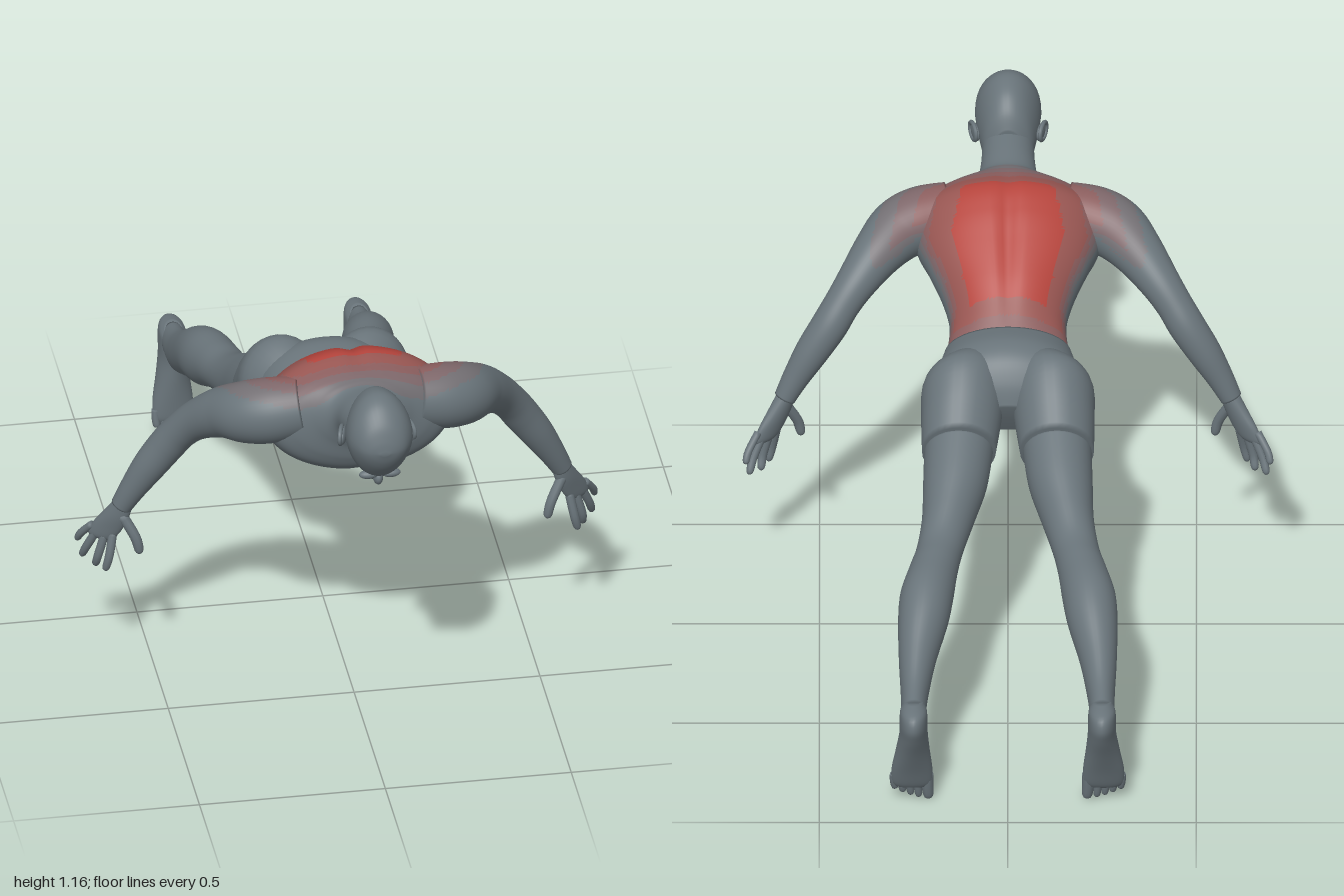
import * as THREE from 'three';

const mat = (name, color) => {
  const m = new THREE.MeshStandardMaterial({ color });
  m.name = name;
  return m;
};
const skin = mat('grey skin', 0x69747a);
// Index 0 is skin, then rising strength of the red patch on the back
const tints = [skin, mat('faint red', 0x736f73), mat('soft red', 0x7e676a),
  mat('dusky red', 0x8b5e5e), mat('warm red', 0x985652), mat('full red', 0xb5443c)];

// Smooth interpolation of rows of numbers (Catmull-Rom)
function refine(rows, sub) {
  const out = [], last = rows.length - 1;
  for (let i = 0; i < last; i++) {
    const a = rows[Math.max(0, i - 1)], b = rows[i], c = rows[i + 1], d = rows[Math.min(last, i + 2)];
    for (let k = 0; k < sub; k++) {
      const t = k / sub;
      out.push(b.map((_, j) => 0.5 * (2 * b[j] + (c[j] - a[j]) * t
        + (2 * a[j] - 5 * b[j] + 4 * c[j] - d[j]) * t * t
        + (3 * b[j] - a[j] - 3 * c[j] + d[j]) * t * t * t)));
    }
  }
  out.push(rows[last]);
  return out;
}

// Skin over elliptical rings {c, u, v}, closed at both ends
function loft(rings, radial, deform) {
  const pos = [], idx = [], n = rings.length;
  const p = new THREE.Vector3();
  for (const { c, u, v } of rings) {
    for (let j = 0; j < radial; j++) {
      const a = j / radial * Math.PI * 2;
      p.copy(c).addScaledVector(u, Math.cos(a)).addScaledVector(v, Math.sin(a));
      if (deform) deform(p, Math.sin(a));
      pos.push(p.x, p.y, p.z);
    }
  }
  pos.push(...rings[0].c.toArray(), ...rings[n - 1].c.toArray());
  const m = rings[n >> 1];
  const along = rings[(n >> 1) + 1].c.clone().sub(m.c);
  const flip = m.u.clone().cross(m.v).dot(along) < 0;
  const tri = (a, b, c) => (flip ? idx.push(a, c, b) : idx.push(a, b, c));
  for (let j = 0; j < radial; j++) {
    const k = (j + 1) % radial, e = (n - 1) * radial;
    for (let i = 0; i < n - 1; i++) {
      const r = i * radial, s = r + radial;
      tri(r + j, r + k, s + j);
      tri(r + k, s + k, s + j);
    }
    tri(n * radial, k, j);
    tri(n * radial + 1, e + j, e + k);
  }
  const g = new THREE.BufferGeometry();
  g.setAttribute('position', new THREE.Float32BufferAttribute(pos, 3));
  g.setIndex(idx);
  g.computeVertexNormals();
  return g;
}

// Rows: [zTop, yTop, zBottom, yBottom, halfWidth, centreX]
const slab = (rows, side = 1, sub = 5, radial = 32, deform) => loft(
  refine(rows, sub).map(([zt, yt, zb, yb, w, x = 0]) => ({
    c: new THREE.Vector3(x * side, (yt + yb) / 2, (zt + zb) / 2),
    u: new THREE.Vector3(w, 0, 0),
    v: new THREE.Vector3(0, (yt - yb) / 2, (zt - zb) / 2),
  })), radial, deform);

// Rows: [x, y, z, radius]
function limb(rows, side = 1, sub = 4, radial = 12) {
  const pts = refine(rows, sub);
  const at = (i) => new THREE.Vector3(pts[i][0] * side, pts[i][1], pts[i][2]);
  return loft(pts.map((q, i) => {
    const d = at(Math.min(i + 1, pts.length - 1)).sub(at(Math.max(i - 1, 0))).normalize();
    const u = new THREE.Vector3(0, 0, 1).cross(d).normalize();
    const v = d.clone().cross(u);
    return { c: at(i), u: u.multiplyScalar(q[3]), v: v.multiplyScalar(q[3]) };
  }), radial);
}

// Finger or toe with a rounded tip
const digit = (a, b, c, r, side) => limb([[...a, r], [...b, r],
  [...c.map((v, i) => v + (b[i] - v) * 0.2), r * 0.85], [...c, r * 0.25]], side, 4, 10);

// Strength of the red patch at a point on the surface
function redLevel(p, ny) {
  if (ny < 0.12) return 0;
  const half = 0.1 + 0.05 * Math.min(1, Math.max(0, (p.z - 0.23) / 0.17)) - 0.25 * Math.max(0, p.z - 0.4);
  const dx = Math.max(0, Math.abs(p.x) - half), dz = Math.max(0, 0.23 - p.z, p.z - 0.52);
  if (dx === 0 && dz === 0) return 5;
  const t = Math.max(0, 1 - Math.hypot(dx / 0.25, dz / 0.14)) * Math.min(1, ny * 2);
  return Math.min(4, Math.floor(t * 5 + 0.35));
}

// Sort faces into one material group per tint
function tint(g) {
  const src = g.index.array, pos = g.attributes.position, bins = tints.map(() => []);
  const [a, b, c] = [0, 1, 2].map(() => new THREE.Vector3());
  const t = new THREE.Triangle(a, b, c), mid = new THREE.Vector3(), nor = new THREE.Vector3();
  for (let i = 0; i < src.length; i += 3) {
    [a, b, c].forEach((v, k) => v.fromBufferAttribute(pos, src[i + k]));
    t.getMidpoint(mid);
    t.getNormal(nor);
    bins[redLevel(mid, nor.y)].push(src[i], src[i + 1], src[i + 2]);
  }
  let start = 0;
  bins.forEach((bin, k) => {
    if (bin.length) g.addGroup(start, bin.length, k);
    start += bin.length;
  });
  g.setIndex(bins.flat());
  return g;
}

// Spine and breastbone grooves, belly ridges
function muscles(p, s) {
  const groove = Math.exp(-((p.x / 0.022) ** 2));
  const span = (lo, hi) => (p.z > lo && p.z < hi ? Math.sin((p.z - lo) / (hi - lo) * Math.PI) : 0);
  if (s > 0) p.y -= 0.014 * groove * span(0.15, 0.6);
  else {
    p.y += 0.012 * groove * span(0.2, 0.64);
    p.y += 0.005 * Math.cos(p.z * 90) * span(0.2, 0.44) * Math.exp(-((p.x / 0.08) ** 4));
  }
}

export function createModel() {
  const model = new THREE.Group();
  const add = (name, geometry, material = skin, parent = model) => {
    const m = new THREE.Mesh(geometry, material);
    m.name = name;
    parent.add(m);
    return m;
  };
  const blob = (name, x, y, z, sx, sy, sz) => {
    const m = add(name, new THREE.SphereGeometry(1, 20, 14));
    m.position.set(x, y, z);
    m.scale.set(sx, sy, sz);
    return m;
  };

  // Neck and torso
  add('torso', tint(slab([
    [0.82, 1.06, 0.83, 0.93, 0.068], [0.72, 1.045, 0.74, 0.915, 0.072], [0.655, 1.035, 0.685, 0.895, 0.085],
    [0.625, 1.04, 0.66, 0.86, 0.13], [0.6, 1.045, 0.645, 0.81, 0.195], [0.565, 1.052, 0.62, 0.77, 0.24],
    [0.5, 1.062, 0.57, 0.74, 0.255], [0.43, 1.032, 0.5, 0.727, 0.242], [0.36, 0.985, 0.43, 0.728, 0.212],
    [0.28, 0.925, 0.37, 0.69, 0.175], [0.22, 0.872, 0.3, 0.655, 0.155], [0.16, 0.82, 0.215, 0.632, 0.162],
  ], 1, 11, 96, muscles)), tints);

  // Head
  add('head', slab([
    [0.768, 1.06, 0.775, 0.9, 0.045], [0.787, 1.105, 0.79, 0.868, 0.064], [0.82, 1.14, 0.815, 0.872, 0.074],
    [0.86, 1.158, 0.85, 0.888, 0.083], [0.9, 1.163, 0.895, 0.908, 0.088], [0.94, 1.147, 0.935, 0.932, 0.084],
    [0.975, 1.11, 0.97, 0.968, 0.066], [0.993, 1.07, 0.99, 1.0, 0.042], [1, 1.04, 1, 1.03, 0.012],
  ], 1, 6, 40, (p, s) => { if (s < 0) p.x *= 1 + 0.12 * s; }));
  blob('nose', 0, 0.897, 0.878, 0.014, 0.022, 0.026);
  blob('lips', 0, 0.874, 0.835, 0.025, 0.01, 0.012);
  blob('chin', 0, 0.874, 0.8, 0.026, 0.012, 0.016);

  // Briefs
  add('briefsHips', slab([
    [0.16, 0.828, 0.218, 0.622, 0.168], [0.08, 0.838, 0.14, 0.598, 0.185],
    [0.02, 0.815, 0.09, 0.583, 0.195], [-0.02, 0.76, 0.04, 0.585, 0.17], [-0.04, 0.7, 0.01, 0.6, 0.09],
  ], 1, 6, 48));

  for (const side of [1, -1]) {
    const label = side > 0 ? 'left' : 'right';
    const part = (name, g, m) => add(label + name, g, m);

    // Face and ears
    blob(label + 'Brow', side * 0.03, 0.925, 0.912, 0.026, 0.012, 0.014);
    blob(label + 'Ear', side * 0.087, 1.012, 0.845, 0.009, 0.024, 0.03).rotation.y = side * 0.3;
    const rim = part('EarRim', new THREE.TorusGeometry(0.023, 0.006, 8, 20));
    rim.position.set(side * 0.093, 1.014, 0.845);
    rim.rotation.y = Math.PI / 2 + side * 0.3;
    rim.scale.x = 1.2;

    // Legs
    part('BriefsLeg', slab([
      [0.11, 0.8, 0.16, 0.64, 0.07, 0.085], [0.02, 0.828, 0.09, 0.582, 0.108, 0.115],
      [-0.06, 0.778, 0.01, 0.543, 0.107, 0.123], [-0.135, 0.695, -0.06, 0.498, 0.098, 0.13],
    ], side));
    part('Leg', slab([
      [-0.12, 0.69, -0.05, 0.51, 0.092, 0.13], [-0.22, 0.636, -0.16, 0.465, 0.085, 0.14],
      [-0.31, 0.583, -0.27, 0.43, 0.07, 0.158], [-0.4, 0.535, -0.38, 0.41, 0.062, 0.18],
      [-0.48, 0.522, -0.46, 0.388, 0.065, 0.198], [-0.57, 0.508, -0.54, 0.35, 0.071, 0.215],
      [-0.65, 0.472, -0.62, 0.323, 0.066, 0.225], [-0.75, 0.402, -0.72, 0.278, 0.049, 0.24],
      [-0.84, 0.348, -0.81, 0.238, 0.037, 0.247], [-0.92, 0.325, -0.875, 0.235, 0.033, 0.25],
    ], side));
    part('Foot', slab([
      [-0.93, 0.325, -0.86, 0.3, 0.024, 0.25], [-0.985, 0.312, -0.852, 0.288, 0.035, 0.25],
      [-1, 0.278, -0.85, 0.262, 0.037, 0.25], [-0.985, 0.235, -0.853, 0.22, 0.038, 0.25],
      [-0.955, 0.175, -0.856, 0.165, 0.045, 0.252], [-0.925, 0.11, -0.86, 0.1, 0.054, 0.254],
      [-0.905, 0.06, -0.863, 0.06, 0.054, 0.254], [-0.895, 0.043, -0.868, 0.043, 0.045, 0.254],
    ], side));
    for (let i = 0; i < 5; i++) {
      const x = 0.213 + i * 0.021 + (i ? 0.005 : 0), tip = [0, 0.003, 0.01, 0.019, 0.03][i];
      part('Toe' + (i + 1), digit([x, 0.08, -0.883], [x, 0.045 + tip * 0.4, -0.879],
        [x - 0.003, tip, -0.873], i ? 0.011 : 0.016, side));
    }

    // Arms
    part('Arm', tint(limb([
      [0.15, 0.94, 0.56, 0.08], [0.23, 0.925, 0.545, 0.088], [0.29, 0.908, 0.515, 0.084],
      [0.345, 0.877, 0.455, 0.069], [0.4, 0.825, 0.395, 0.055], [0.44, 0.775, 0.36, 0.049],
      [0.475, 0.72, 0.337, 0.049], [0.52, 0.65, 0.322, 0.045], [0.562, 0.578, 0.31, 0.036], [0.592, 0.52, 0.3, 0.029],
    ], side, 9, 48)), tints);

    // Hands
    const palm = [[0.586, 0.535, 0.302, 0.026, 0.024], [0.605, 0.49, 0.293, 0.038, 0.022],
      [0.625, 0.45, 0.28, 0.044, 0.018], [0.64, 0.418, 0.27, 0.04, 0.014], [0.645, 0.406, 0.266, 0.03, 0.008]];
    part('Palm', loft(refine(palm, 4).map(([x, y, z, w, t]) => ({
      c: new THREE.Vector3(x * side, y, z),
      u: new THREE.Vector3(0.78 * side, 0, -0.62).multiplyScalar(w),
      v: new THREE.Vector3(0.62 * side, 0, 0.78).multiplyScalar(t),
    })), 24));
    const digits = {
      Thumb: [[0.592, 0.495, 0.31], [0.56, 0.435, 0.328], [0.547, 0.385, 0.332], 0.014],
      IndexFinger: [[0.613, 0.435, 0.29], [0.625, 0.37, 0.303], [0.636, 0.322, 0.3], 0.012],
      MiddleFinger: [[0.632, 0.425, 0.277], [0.65, 0.36, 0.276], [0.656, 0.318, 0.26], 0.012],
      RingFinger: [[0.65, 0.428, 0.262], [0.675, 0.37, 0.243], [0.687, 0.328, 0.222], 0.0115],
      LittleFinger: [[0.663, 0.44, 0.253], [0.688, 0.4, 0.225], [0.697, 0.37, 0.206], 0.0105],
    };
    for (const [name, d] of Object.entries(digits)) part(name, digit(...d, side));
  }
  return model;
}
